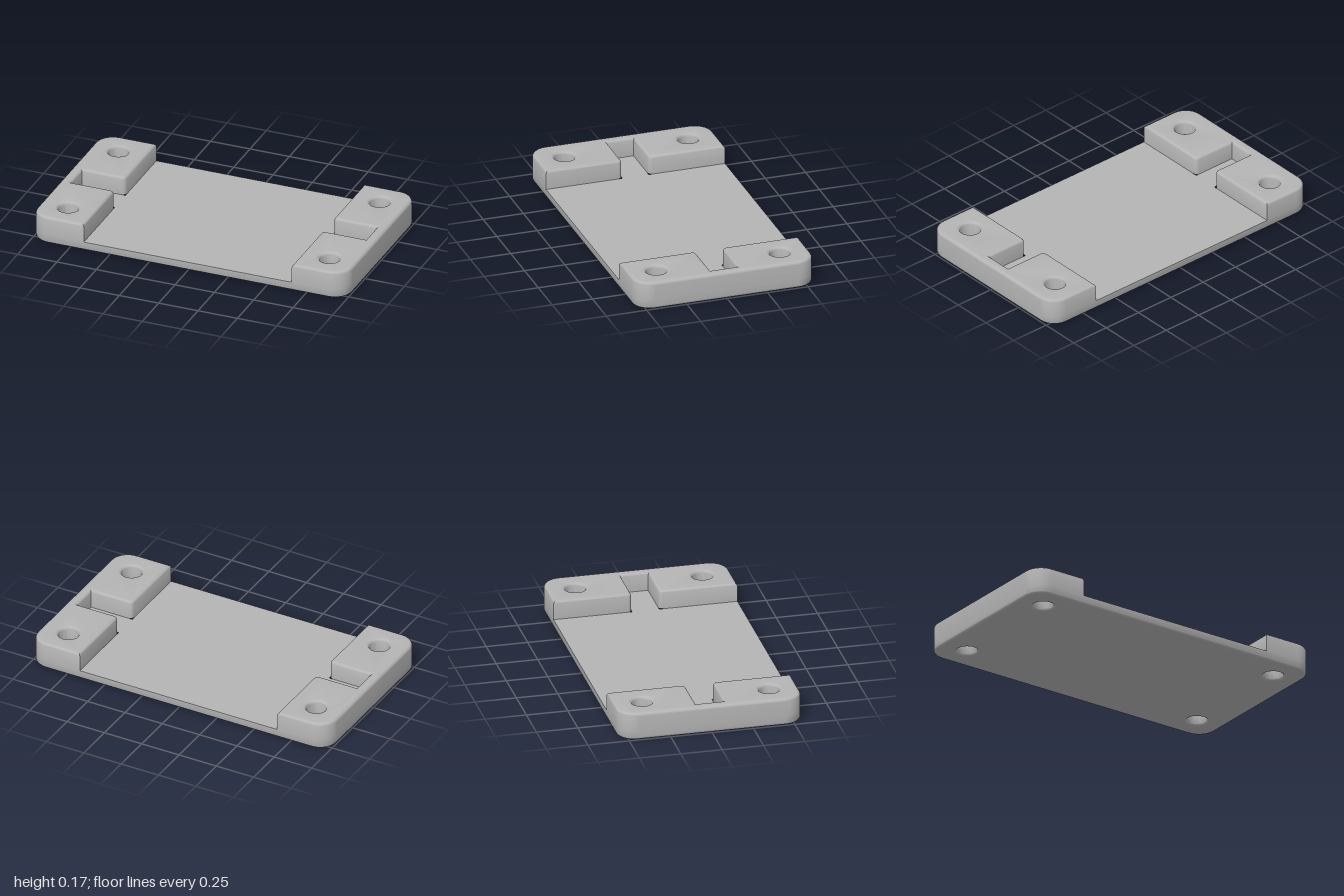
import * as THREE from 'three';
import { toCreasedNormals } from 'three/addons/utils/BufferGeometryUtils.js';

const HX = 1, HZ = 0.555, HEIGHT = 0.17, FLOOR = 0.055;
const PAD_X = 0.66, SLOT_X = 0.935, SLOT_Z = 0.082;
const HOLE_X = 0.83, HOLE_Z = 0.383, HOLE_R = 0.06;
const CORNER = 0.11, FILLET = 0.02, INNER = 0.025;

// Right-angled outline of [x, z, radius] corners, counter-clockwise, shrunk by inset
function outline(corners, inset) {
  const points = [], n = corners.length;
  const inward = (a, b) => new THREE.Vector2(a[1] - b[1], b[0] - a[0]).normalize();
  corners.forEach((c, i) => {
    const before = inward(corners[(i + n - 1) % n], c);
    const after = inward(c, corners[(i + 1) % n]);
    const r = c[2], shift = r || inset;
    const centre = new THREE.Vector2(c[0], c[1]).addScaledVector(before, shift).addScaledVector(after, shift);
    if (!r) { points.push(centre); return; }
    const start = Math.atan2(-before.y, -before.x);
    for (let k = 0; k <= 8; k++) {
      const a = start + k * Math.PI / 16;
      points.push(new THREE.Vector2(Math.cos(a), Math.sin(a)).multiplyScalar(r - inset).add(centre));
    }
  });
  return points;
}

// Clockwise ring, widened by inset
function hole(x, z, inset) {
  return Array.from({ length: 32 }, (_, k) => {
    const a = -k * Math.PI / 16, r = HOLE_R + inset;
    return new THREE.Vector2(x + r * Math.cos(a), z + r * Math.sin(a));
  });
}

// Walls through rows of [y, inset], closed by one cap at the top or bottom
function block(corners, holes, rows, capTop) {
  const pos = [];
  const tri = (...verts) => verts.forEach(([p, y]) => pos.push(p.x, y, p.y));
  const layers = rows.map(([y, inset]) => ({
    y, loops: [outline(corners, inset), ...holes.map(([x, z]) => hole(x, z, inset))],
  }));
  for (let i = 0; i < layers.length - 1; i++) {
    const low = layers[i], high = layers[i + 1];
    low.loops.forEach((loop, l) => loop.forEach((p, k) => {
      const next = (k + 1) % loop.length;
      const a = [p, low.y], b = [loop[next], low.y];
      const c = [high.loops[l][next], high.y], d = [high.loops[l][k], high.y];
      tri(a, d, c);
      tri(a, c, b);
    }));
  }
  const cap = capTop ? layers[layers.length - 1] : layers[0];
  const [contour, ...rings] = cap.loops;
  const all = cap.loops.flat();
  for (const [a, b, c] of THREE.ShapeUtils.triangulateShape(contour, rings)) {
    const f = capTop ? [a, c, b] : [a, b, c];
    tri(...f.map((i) => [all[i], cap.y]));
  }
  const geometry = new THREE.BufferGeometry();
  geometry.setAttribute('position', new THREE.Float32BufferAttribute(pos, 3));
  return toCreasedNormals(geometry, 0.6);
}

// Quarter-round edge as [distance from the face, inset]
const fillet = Array.from({ length: 6 }, (_, k) => {
  const a = k * Math.PI / 10;
  return [FILLET * (1 - Math.sin(a)), FILLET * (1 - Math.cos(a))];
});

export function createModel() {
  const group = new THREE.Group();
  const grey = new THREE.MeshStandardMaterial({ color: 0xb4b4b4 });
  grey.name = 'grey';
  const add = (name, geometry) => {
    const mesh = new THREE.Mesh(geometry, grey);
    mesh.name = name;
    group.add(mesh);
    return mesh;
  };

  // Base plate: rounded underside and four through holes
  const plate = [[-HX, -HZ, CORNER], [HX, -HZ, CORNER], [HX, HZ, CORNER], [-HX, HZ, CORNER]];
  const holes = [-1, 1].flatMap((x) => [-1, 1].map((z) => [x * HOLE_X, z * HOLE_Z]));
  const under = [...fillet].reverse();
  add('basePlate', block(plate, holes, [...under, [FLOOR, 0]], false));

  // Recessed floor between the end pads, running into both slots
  const floor = new THREE.Shape([
    [-PAD_X, -HZ], [PAD_X, -HZ], [PAD_X, -SLOT_Z], [SLOT_X, -SLOT_Z], [SLOT_X, SLOT_Z], [PAD_X, SLOT_Z],
    [PAD_X, HZ], [-PAD_X, HZ], [-PAD_X, SLOT_Z], [-SLOT_X, SLOT_Z], [-SLOT_X, -SLOT_Z], [-PAD_X, -SLOT_Z],
  ].map(([x, z]) => new THREE.Vector2(x, z)));
  add('recessFloor', new THREE.ShapeGeometry(floor).rotateX(-Math.PI / 2).translate(0, FLOOR, 0));

  // Raised C-shaped end pads with rounded top edges
  const pad = [
    [PAD_X, -HZ, 0], [HX, -HZ, CORNER], [HX, HZ, CORNER], [PAD_X, HZ, 0],
    [PAD_X, SLOT_Z, INNER], [SLOT_X, SLOT_Z, 0], [SLOT_X, -SLOT_Z, 0], [PAD_X, -SLOT_Z, INNER],
  ];
  const rows = [[FLOOR, 0], ...fillet.map(([d, inset]) => [HEIGHT - d, inset])];
  const padGeometry = block(pad, [[HOLE_X, -HOLE_Z], [HOLE_X, HOLE_Z]], rows, true);
  add('leftEndPad', padGeometry);
  add('rightEndPad', padGeometry).rotation.y = Math.PI;

  return group;
}
